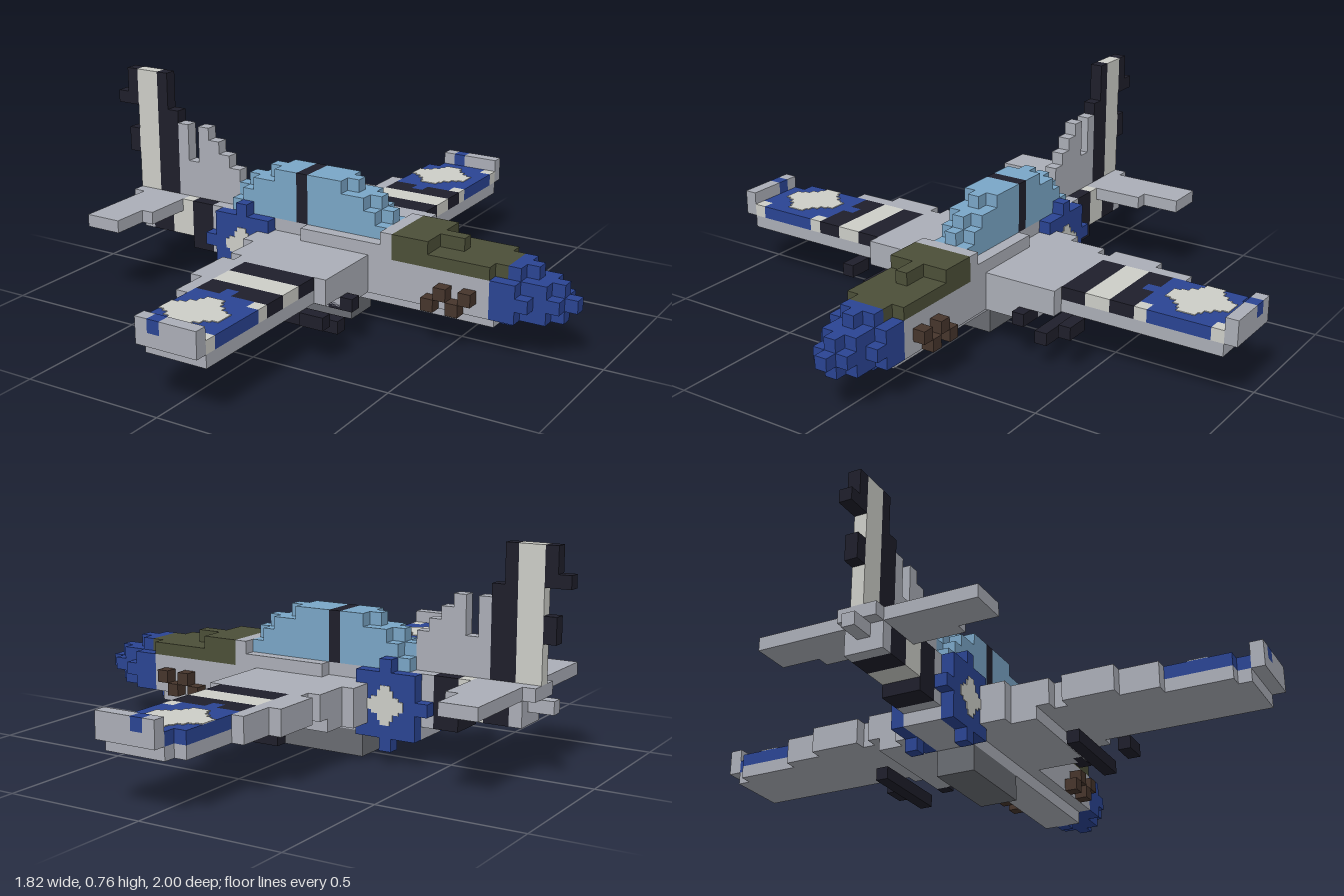
import * as THREE from 'three';

const U = 2 / 45; // size of one block

const colours = {
  gray: 0xabaeb7, darkGray: 0x696c72, paleGray: 0xcdcec8, blue: 0x2a4493, black: 0x1f1f2b,
  glass: 0x7aa6c7, olive: 0x4c4f38, brown: 0x46352c,
};

export function createModel() {
  const model = new THREE.Group();
  model.name = 'aeroplane';
  const mats = {};
  for (const [name, color] of Object.entries(colours)) {
    mats[name] = new THREE.MeshStandardMaterial({ color });
    mats[name].name = name;
  }

  // Box spanning whole blocks, given as first and last block on each axis
  function box(name, mat, x0, x1, y0, y1, z0, z1) {
    const g = new THREE.BoxGeometry((x1 - x0 + 1) * U, (y1 - y0 + 1) * U, (z1 - z0 + 1) * U);
    const m = new THREE.Mesh(g, mats[mat]);
    m.name = name;
    m.position.set((x0 + x1) / 2 * U, (y0 + y1 + 1) / 2 * U, (z0 + z1) / 2 * U);
    model.add(m);
  }
  const mid = (name, mat, x0, x1, y0, y1, w) => box(name, mat, x0, x1, y0, y1, -w, w);
  function pair(name, mat, x0, x1, y0, y1, z0, z1) {
    box(name + 'Left', mat, x0, x1, y0, y1, z0, z1);
    box(name + 'Right', mat, x0, x1, y0, y1, -z1, -z0);
  }

  // Thin stepped star, drawn from corner points of one quadrant
  function star(name, quadrant) {
    const pts = [];
    for (let q = 0; q < 4; q++) {
      for (const [x, y] of quadrant) {
        const p = new THREE.Vector2(x * U, y * U);
        pts.push(p.rotateAround(new THREE.Vector2(), q * Math.PI / 2));
      }
    }
    const g = new THREE.ExtrudeGeometry(new THREE.Shape(pts), { depth: 0.003, bevelEnabled: false });
    const m = new THREE.Mesh(g, mats.paleGray);
    m.name = name;
    model.add(m);
    return m;
  }

  // Fuselage with narrower keel, and belly intake
  mid('fuselage', 'gray', -4, 14, 3, 5, 2);
  mid('keel', 'gray', -9, 14, 2, 2, 1);
  mid('cockpitSillRear', 'gray', -4, -2, 6, 6, 1);
  mid('cockpitSill', 'gray', -1, 6, 6, 6, 2);
  mid('windscreenBase', 'gray', 6, 6, 7, 7, 2);
  mid('rearFuselage', 'gray', -10, -5, 3, 6, 1);
  mid('tailBandBlack', 'black', -12, -11, 3, 6, 1);
  mid('tailBandPale', 'paleGray', -14, -13, 4, 5, 1);
  mid('tailBandPaleTop', 'paleGray', -13, -13, 6, 6, 1);
  mid('tailBandRear', 'black', -16, -15, 4, 5, 1);
  mid('tailEnd', 'gray', -17, -17, 4, 5, 1);
  mid('tailTip', 'gray', -19, -18, 5, 5, 0);
  mid('bellyIntake', 'darkGray', -4, 2, 0, 1, 1);

  // Olive anti-glare panel
  mid('nosePanel', 'olive', 7, 14, 6, 6, 2);
  mid('nosePanelFront', 'olive', 15, 15, 6, 6, 1);
  mid('nosePanelRaised', 'olive', 7, 9, 7, 7, 2);
  mid('nosePanelRidge', 'olive', 10, 11, 7, 7, 0);

  // Stepped blue nose
  mid('noseCollar', 'blue', 15, 15, 3, 5, 2);
  mid('noseCollarBottom', 'blue', 15, 15, 2, 2, 0);
  mid('noseRing', 'blue', 16, 16, 3, 5, 2);
  mid('noseRingTop', 'blue', 16, 16, 6, 6, 1);
  mid('noseCore', 'blue', 17, 18, 3, 5, 1);
  mid('noseCoreSides', 'blue', 17, 17, 4, 4, 2);
  mid('noseCoreTop', 'blue', 17, 17, 6, 6, 0);
  mid('noseConeUpright', 'blue', 19, 19, 3, 5, 0);
  mid('noseConeSides', 'blue', 19, 19, 4, 4, 1);
  mid('noseTip', 'blue', 20, 20, 4, 4, 0);

  // Exhaust stubs, alternating in height
  for (let i = 0; i < 4; i++) pair('exhaust', 'brown', 10 + i, 10 + i, 3 + i % 2, 3 + i % 2, 3, 3);

  // Canopy layers with narrow ends, split by a black frame
  for (const [x0, x1, y] of [[-8, 5, 8], [-7, 4, 9], [-5, 2, 10]]) {
    mid('canopyRear', 'glass', x0 + 1, -3, y, y, 1);
    mid('canopyFront', 'glass', -1, x1 - 1, y, y, 1);
    mid('canopyRearEnd', 'glass', x0, x0, y, y, 0);
    mid('canopyFrontEnd', 'glass', x1, x1, y, y, 0);
  }
  mid('canopyBaseRear', 'glass', -8, -3, 7, 7, 1);
  mid('canopyBaseFront', 'glass', -1, 5, 7, 7, 1);
  mid('canopyFrame', 'black', -2, -2, 7, 10, 1);

  // Inner wings
  pair('wingRoot', 'gray', -4, 4, 3, 5, 3, 6);
  pair('wingRootOuter', 'gray', -4, 4, 4, 5, 7, 7);
  pair('wingRootEnd', 'gray', -3, 4, 4, 5, 8, 8);
  pair('wingFillet', 'gray', -5, -5, 3, 5, 3, 4);

  // Outer wings: plain lower layer
  pair('wingInnerPanel', 'gray', -4, 3, 4, 4, 9, 12);
  pair('wingMiddlePanel', 'gray', -3, 3, 4, 4, 13, 15);
  pair('wingOuterPanel', 'gray', -2, 3, 4, 4, 16, 20);
  pair('wingEndPanel', 'gray', -1, 3, 4, 4, 21, 21);
  pair('wingInnerTrailing', 'gray', -4, -3, 5, 5, 9, 12);
  pair('wingMiddleTrailing', 'gray', -3, -3, 5, 5, 13, 15);

  // Outer wings: painted upper layer
  pair('wingStripeInner', 'black', -2, 3, 5, 5, 9, 10);
  pair('wingStripePale', 'paleGray', -2, 3, 5, 5, 11, 12);
  pair('wingStripeOuter', 'black', -2, 3, 5, 5, 13, 13);
  pair('wingStripeBack', 'black', -2, -1, 5, 5, 14, 14);
  pair('wingStripeFront', 'black', 1, 3, 5, 5, 14, 14);
  pair('wingRoundelPoint', 'blue', 0, 0, 5, 5, 14, 14);
  pair('wingRoundelEdge', 'blue', -2, 2, 5, 5, 15, 15);
  pair('wingPaleCorner', 'paleGray', 3, 3, 5, 5, 15, 15);
  pair('wingRoundel', 'blue', -2, 3, 5, 5, 16, 20);
  pair('wingRoundelEnd', 'blue', -1, 2, 5, 5, 21, 21);
  pair('wingEndCorner', 'paleGray', 3, 3, 5, 5, 21, 21);

  // Raised wing tips
  pair('wingTipLower', 'gray', -1, 3, 5, 5, 22, 22);
  pair('wingTipBack', 'gray', -1, -1, 6, 6, 22, 22);
  pair('wingTipPoint', 'blue', 0, 0, 6, 6, 22, 22);
  pair('wingTipFront', 'gray', 1, 3, 6, 6, 22, 22);

  // Wing guns and rods
  pair('longRod', 'black', -1, 5, 2, 2, 8, 8);
  pair('innerGun', 'black', 4, 5, 3, 3, 6, 6);
  pair('outerGun', 'black', 4, 5, 3, 3, 10, 10);

  // Side roundels
  pair('sideRoundel', 'blue', -9, -5, 2, 6, 2, 2);
  pair('sideRoundelBack', 'blue', -10, -10, 4, 4, 2, 2);
  pair('sideRoundelTop', 'blue', -7, -7, 7, 7, 2, 2);
  pair('sideRoundelBottom', 'blue', -7, -7, 1, 1, 2, 2);

  // Pale stars on the roundels
  const wingStar = [[2.5, -0.75], [2.5, 0.75], [2, 0.75], [2, 1], [1.5, 1], [1.5, 1.5], [1, 1.5], [1, 2], [0.75, 2]];
  const sideStar = [[1.5, -0.4], [1.5, 0.4], [1.15, 0.4], [1.15, 0.65], [0.65, 0.65], [0.65, 1.15], [0.4, 1.15]];
  for (const s of [1, -1]) {
    const w = star('wingStar', wingStar);
    w.rotation.x = -Math.PI / 2;
    w.position.set(0, 6 * U, s * 18 * U);
    const f = star('sideStar', sideStar);
    f.rotation.y = s > 0 ? 0 : Math.PI;
    f.position.set(-7 * U, 4.5 * U, s * 2.5 * U);
  }

  // Tailplane
  mid('tailplane', 'gray', -17, -15, 6, 6, 8);
  mid('tailplaneFront', 'gray', -14, -14, 6, 6, 5);
  mid('tailplaneRear', 'gray', -18, -18, 6, 6, 1);

  // Fin and rudder
  mid('rudder', 'paleGray', -18, -17, 7, 16, 0);
  mid('finStripe', 'black', -16, -16, 7, 16, 0);
  mid('finStripeFront', 'black', -15, -15, 7, 13, 0);
  mid('rudderTabUpper', 'black', -19, -19, 14, 16, 0);
  mid('rudderTabTip', 'black', -20, -20, 14, 14, 0);
  mid('rudderTabLower', 'black', -19, -19, 10, 11, 0);
  [12, 9, 12, 11, 10, 9].forEach((top, i) => mid('finStep', 'gray', -14 + i, -14 + i, 7, top, 0));

  return model;
}
